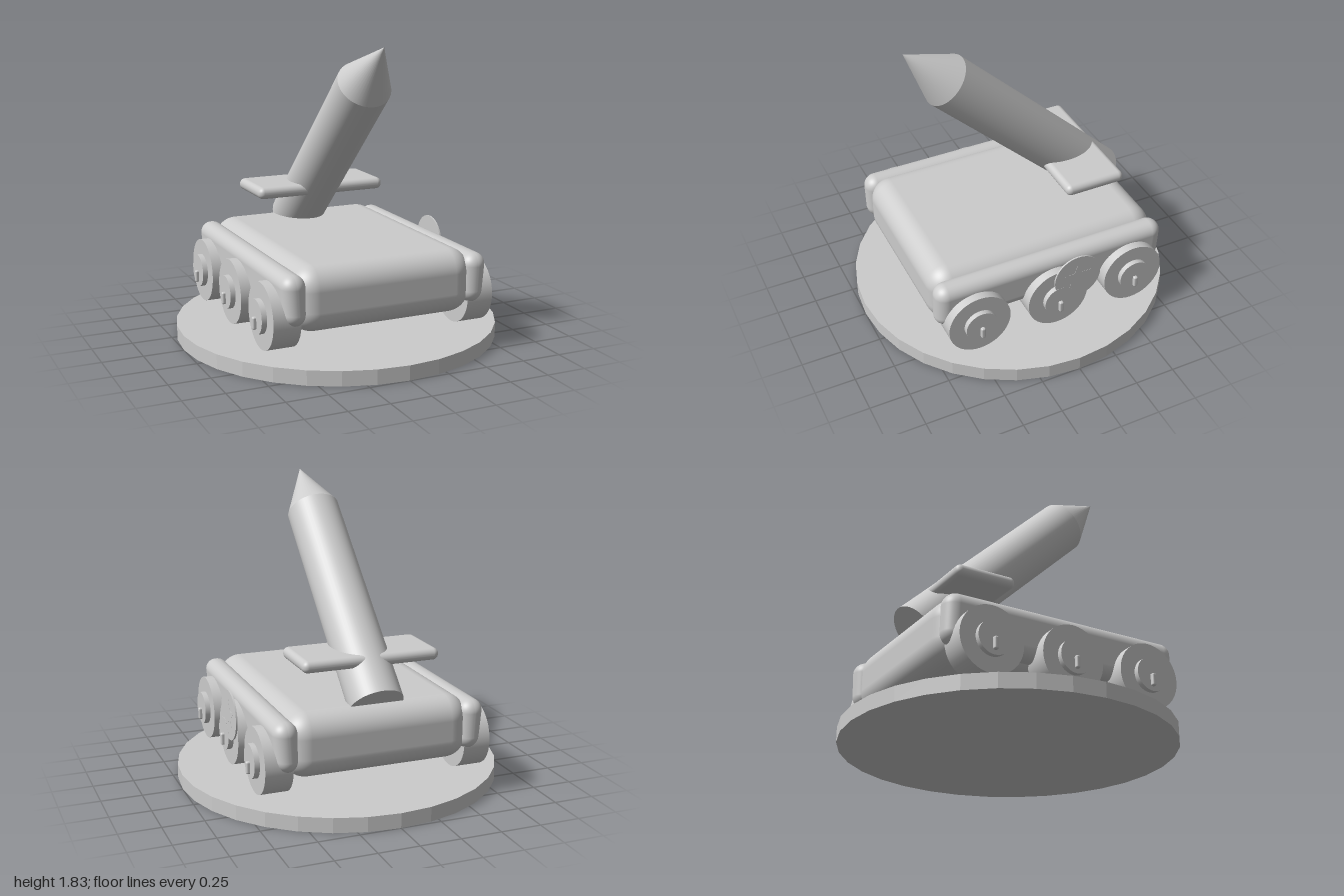
import * as THREE from 'three';
import { RoundedBoxGeometry } from 'three/addons/geometries/RoundedBoxGeometry.js';

const grey = new THREE.MeshStandardMaterial({ color: 0xcccccc });
grey.name = 'plain grey';

function add(parent, name, geometry, x = 0, y = 0, z = 0) {
  const mesh = new THREE.Mesh(geometry, grey);
  mesh.name = name;
  mesh.position.set(x, y, z);
  parent.add(mesh);
  return mesh;
}

// Cylinder lying along x
function axle(radius, length, sides = 40) {
  return new THREE.CylinderGeometry(radius, radius, length, sides).rotateZ(Math.PI / 2);
}

// Fender: a soft bar that is thicker at the top and leans outward
function fenderGeometry(side) {
  const g = new RoundedBoxGeometry(0.155, 0.3, 1.51, 6, 0.075);
  const p = g.attributes.position;
  for (let i = 0; i < p.count; i++) {
    const t = p.getY(i) / 0.15;
    p.setX(i, p.getX(i) * (0.91 + 0.09 * t) + side * 0.008 * t);
  }
  g.computeBoundingSphere();
  return g;
}

function starShape(outer, inner) {
  const points = [];
  for (let i = 0; i < 10; i++) {
    const a = Math.PI / 2 + (i * Math.PI) / 5;
    const r = i % 2 ? inner : outer;
    points.push(new THREE.Vector2(Math.cos(a) * r, Math.sin(a) * r));
  }
  return new THREE.Shape(points);
}

export function createModel() {
  const model = new THREE.Group();
  model.name = 'rocketCart';

  // Faceted round base
  const base = new THREE.CylinderGeometry(1, 1, 0.09, 32).toNonIndexed();
  base.computeVertexNormals();
  add(model, 'basePlate', base, 0, 0.045, 0);

  // Hull
  add(model, 'hull', new RoundedBoxGeometry(1.14, 0.39, 1.5, 8, 0.135), 0, 0.435, 0);

  // Fenders and three wheels on each side
  for (const s of [-1, 1]) {
    add(model, s > 0 ? 'leftFender' : 'rightFender', fenderGeometry(s), s * 0.572, 0.45, 0);
    for (const z of [-0.517, 0, 0.517]) {
      const wheel = new THREE.Group();
      wheel.name = 'wheel';
      wheel.position.set(0, 0.33, z);
      add(wheel, 'tyre', axle(0.198, 0.168), s * 0.619, 0, 0);
      add(wheel, 'hub', axle(0.102, 0.04), s * 0.715, 0, 0);
      add(wheel, 'pin', new RoundedBoxGeometry(0.05, 0.075, 0.028, 3, 0.01), s * 0.731, -0.037, 0);
      model.add(wheel);
    }
  }

  // Round badge plate with a thin star on one side
  add(model, 'badgeDisc', axle(0.153, 0.01), 0.729, 0.48, -0.112);
  const star = new THREE.ExtrudeGeometry(starShape(0.1, 0.04), { depth: 0.001, bevelEnabled: false });
  add(model, 'badgeStar', star.rotateY(Math.PI / 2), 0.734, 0.48, -0.112);

  // Tilted rocket, origin at the centre of its tail
  const rocket = new THREE.Group();
  rocket.name = 'rocket';
  rocket.position.set(0, 0.615, -0.635);
  rocket.rotation.x = Math.atan2(1.035, 0.98);
  add(rocket, 'rocketTube', new THREE.CylinderGeometry(0.164, 0.164, 1.425, 48), 0, 0.7125, 0);
  add(rocket, 'noseCone', new THREE.ConeGeometry(0.164, 0.34, 48), 0, 1.595, 0);
  model.add(rocket);

  // Level wing through the rocket
  add(model, 'wing', new RoundedBoxGeometry(0.85, 0.073, 0.388, 5, 0.035), 0, 0.861, -0.392);

  return model;
}
